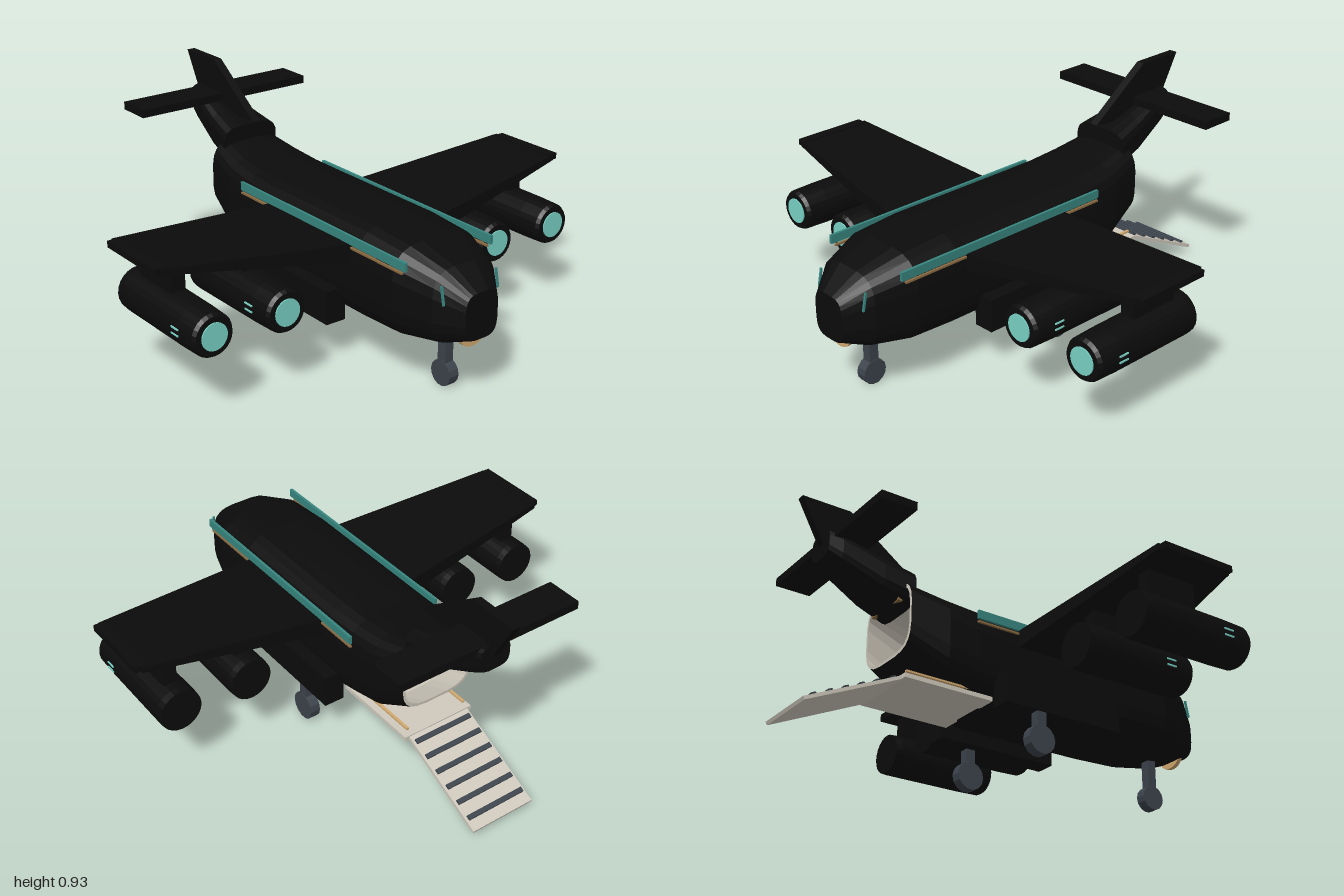
import * as THREE from 'three';

const mat = (color, extra = {}) => new THREE.MeshStandardMaterial({ color, flatShading: true, ...extra });

export function createModel() {
  const black = mat(0x0b0b0b);
  const blackSmooth = mat(0x0b0b0b, { flatShading: false });
  const teal = mat(0x78d0c4);
  const darkTeal = mat(0x37857f);
  const steel = mat(0x3c434b);
  const beige = mat(0xd0cabd);
  const gold = mat(0xd2a970);
  const brass = mat(0x8a6a42);
  const model = new THREE.Group();

  const add = (name, geo, material, x = 0, y = 0, z = 0) => {
    const m = new THREE.Mesh(geo, material);
    m.name = name;
    m.position.set(x, y, z);
    model.add(m);
    return m;
  };
  const box = (name, material, w, h, d, x, y, z) =>
    add(name, new THREE.BoxGeometry(w, h, d), material, x, y, z);

  // Skin over rounded-square sections: [z, half width, bottom, top]
  const loft = (sections, capStart, capEnd, n = 24, power = 3.6) => {
    const pos = [], idx = [];
    const round = v => Math.sign(v) * Math.abs(v) ** (2 / power);
    for (const [z, w, lo, hi] of sections) {
      for (let j = 0; j < n; j++) {
        const a = ((j + 0.5) / n) * Math.PI * 2;
        pos.push(w * round(Math.cos(a)), (lo + hi) / 2 + ((hi - lo) / 2) * round(Math.sin(a)), z);
      }
    }
    for (let i = 0; i < sections.length - 1; i++) {
      for (let j = 0; j < n; j++) {
        const a = i * n + j, b = i * n + ((j + 1) % n);
        idx.push(a, a + n, b, b, a + n, b + n);
      }
    }
    const last = (sections.length - 1) * n;
    for (let j = 1; j < n - 1; j++) {
      if (capStart) idx.push(0, j, j + 1);
      if (capEnd) idx.push(last, last + j + 1, last + j);
    }
    const g = new THREE.BufferGeometry();
    g.setAttribute('position', new THREE.Float32BufferAttribute(pos, 3));
    g.setIndex(idx);
    const flat = g.toNonIndexed();
    flat.computeVertexNormals();
    return flat;
  };

  // Fuselage, open at the back
  add('fuselage', loft([
    [0.96, 0.08, 0.27, 0.46], [0.86, 0.155, 0.235, 0.54], [0.7, 0.21, 0.215, 0.59],
    [0.5, 0.215, 0.207, 0.605], [-0.1, 0.215, 0.203, 0.605], [-0.24, 0.21, 0.23, 0.607],
    [-0.38, 0.2, 0.258, 0.62], [-0.54, 0.17, 0.345, 0.65],
  ], true, false), black);

  // Cargo bay lining with its rim
  add('cargoBay', loft([
    [-0.54, 0.17, 0.345, 0.65], [-0.541, 0.158, 0.357, 0.638], [-0.38, 0.185, 0.272, 0.605],
    [-0.24, 0.195, 0.245, 0.592], [0.1, 0.195, 0.225, 0.59],
  ], false, true), beige);

  // Tail boom, fin and tailplane
  add('tailBoom', loft([
    [-0.5, 0.135, 0.55, 0.71], [-0.63, 0.115, 0.585, 0.745],
    [-0.8, 0.085, 0.665, 0.8], [-0.855, 0.07, 0.695, 0.81],
  ], true, true, 16), black);
  const finShape = new THREE.Shape([
    [-0.455, 0.735], [-0.74, 0.94], [-0.955, 0.94], [-0.855, 0.755], [-0.84, 0.72], [-0.6, 0.72],
  ].map(p => new THREE.Vector2(...p)));
  const finGeo = new THREE.ExtrudeGeometry(finShape, { depth: 0.036, bevelEnabled: false });
  finGeo.rotateY(-Math.PI / 2).translate(0.018, 0, 0);
  add('tailFin', finGeo, black);
  box('tailplane', black, 0.84, 0.034, 0.155, 0, 0.787, -0.757);
  box('bayLight', brass, 0.2, 0.014, 0.02, 0, 0.575, -0.55);

  // Nose sensor: a half disc under the chin
  const sensor = new THREE.CylinderGeometry(0.058, 0.058, 0.02, 20, 1, false, -Math.PI / 2, Math.PI);
  sensor.rotateX(Math.PI / 2).scale(1, 0.75, 1);
  add('chinSensor', sensor, mat(0xd2a970, { side: THREE.DoubleSide }), 0, 0.267, 0.908);

  // Wheel on a strut
  const gear = (name, x, z, r, top) => {
    const tyre = new THREE.CylinderGeometry(r, r, 0.045, 14).rotateZ(Math.PI / 2);
    add(name + 'Wheel', tyre, steel, x, r + 0.004, z);
    box(name + 'Strut', steel, 0.04, top - r, 0.042, x, (top + r) / 2, z);
  };
  gear('noseGear', 0, 0.775, 0.053, 0.26);

  // Engine pod turned about z
  const podProfile = [[0, 0.49], [0.078, 0.49], [0.087, 0.475], [0.09, 0.38], [0.092, 0.0], [0.09, -0.03], [0, -0.03]];
  const podGeo = new THREE.LatheGeometry(
    podProfile.map(([r, z]) => new THREE.Vector2(r, z)).reverse(), 24).rotateX(Math.PI / 2);

  for (const s of [1, -1]) {
    // Wing: a box whose chord, height and thickness follow the span
    const wing = new THREE.BoxGeometry(0.8, 1, 1);
    const p = wing.attributes.position;
    for (let i = 0; i < p.count; i++) {
      const x = p.getX(i) + s * 0.575;
      const t = (Math.abs(x) - 0.175) / 0.8;
      const front = p.getZ(i) > 0, top = p.getY(i) > 0;
      p.setXYZ(i, x,
        top ? 0.527 + 0.071 * t : 0.452 + 0.122 * t,
        front ? 0.467 - 0.112 * t : -0.068 + 0.075 * t);
    }
    wing.computeVertexNormals();
    add('wing', wing, black);
    box('wingTip', black, 0.05, 0.026, 0.33, s * 0.975, 0.587, 0.185);

    // Two engines under each wing
    for (const x of [0.53, 0.85]) {
      add('engine', podGeo, black, s * x, 0.352, 0);
      const intake = new THREE.CylinderGeometry(0.055, 0.055, 0.01, 24).rotateX(Math.PI / 2);
      add('engineIntake', intake, teal, s * x, 0.352, 0.49);
      box('pylon', black, 0.06, 0.14, 0.22, s * x, 0.475, 0.15);
      for (const y of [0.34, 0.365]) {
        box('engineMarker', teal, 0.006, 0.006, 0.045, s * (x + 0.09), y, 0.37);
      }
    }

    // Side pods and main landing gear
    box('sidePod', black, 0.09, 0.14, 0.555, s * 0.225, 0.25, 0.112);
    gear('mainGear', s * 0.245, 0.005, 0.061, 0.27);

    // Window bands, trim and nose lights
    box('windowBand', darkTeal, 0.012, 0.036, 1.04, s * 0.211, 0.547, 0.26);
    box('trimStrip', brass, 0.01, 0.008, 1.02, s * 0.211, 0.516, 0.25);
    const slit = box('noseLight', darkTeal, 0.008, 0.075, 0.008, s * 0.134, 0.455, 0.893);
    slit.rotation.x = -0.2;

    // Guide rails along the loading floor
    box('floorRail', gold, 0.012, 0.008, 0.34, s * 0.14, 0.255, -0.37);
  }

  // Loading floor and hinged ramp with treads
  box('loadingFloor', beige, 0.33, 0.018, 0.4, 0, 0.226, -0.358);
  const ramp = new THREE.Group();
  ramp.name = 'ramp';
  ramp.position.set(0, 0.225, -0.552);
  ramp.rotation.x = -Math.atan2(0.19, 0.41);
  const slab = new THREE.Mesh(new THREE.BoxGeometry(0.292, 0.014, 0.45), beige);
  slab.name = 'rampSlab';
  slab.position.z = -0.225;
  ramp.add(slab);
  for (let i = 0; i < 6; i++) {
    const tread = new THREE.Mesh(new THREE.BoxGeometry(0.27, 0.01, 0.02), steel);
    tread.name = 'rampTread';
    tread.position.set(0, 0.011, -0.035 - i * 0.072);
    ramp.add(tread);
  }
  model.add(ramp);

  return model;
}
